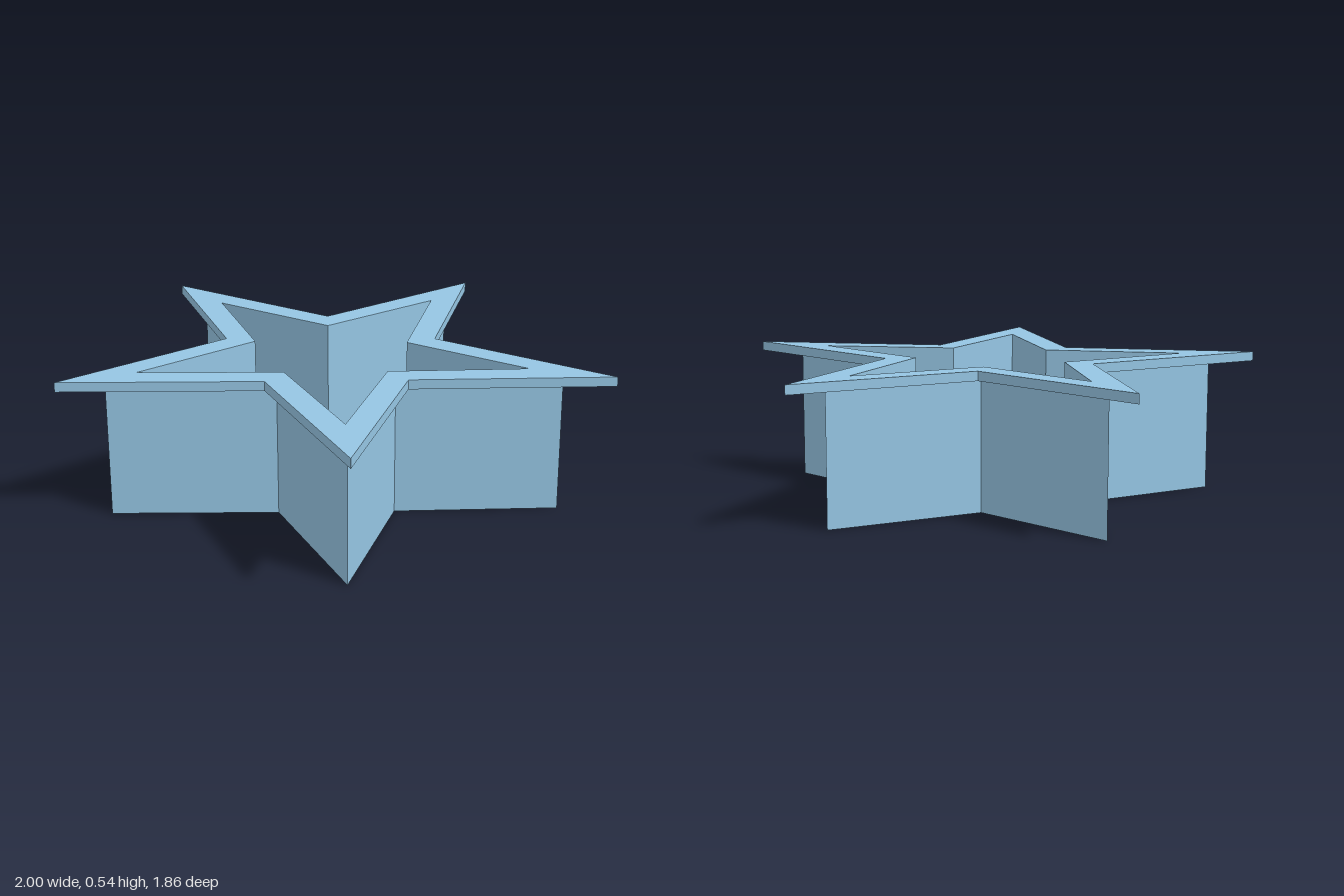
import * as THREE from 'three';

// Star corners as [x, z], starting at the left arm and going round by the back
const RIM = [[-1, -0.23], [-0.255, -0.23], [-0.028, -0.93], [0.24, -0.23], [1, -0.23],
  [0.395, 0.21], [0.617, 0.912], [-0.02, 0.507], [-0.63, 0.93], [-0.42, 0.21]];
const INNER = [[-0.71, -0.133], [-0.187, -0.133], [-0.02, -0.635], [0.175, -0.133], [0.697, -0.133],
  [0.285, 0.175], [0.443, 0.683], [-0.02, 0.39], [-0.458, 0.69], [-0.31, 0.175]];
const WALL_SHARE = 0.388; // wall thickness as a share of the rim width
const RIM_Y = 0.502;
const TOP_Y = 0.538;

// Upright star ring between two outlines, from y0 to y1; the hole runs the opposite way
function starRing(outer, inner, y0, y1) {
  const points = (list) => list.map(([x, z]) => new THREE.Vector2(x, -z));
  const shape = new THREE.Shape(points(outer));
  shape.holes.push(new THREE.Path(points(inner).reverse()));
  const geometry = new THREE.ExtrudeGeometry(shape, { depth: y1 - y0, bevelEnabled: false });
  geometry.rotateX(-Math.PI / 2);
  geometry.translate(0, y0, 0);
  return geometry;
}

export function createModel() {
  const group = new THREE.Group();
  group.name = 'starCutter';
  const blue = new THREE.MeshStandardMaterial({ color: 0x95c5e3 });
  blue.name = 'softBlue';

  // Thin wall, flush with the rim on the inside
  const wallOutline = INNER.map(([x, z], i) => [
    x + (RIM[i][0] - x) * WALL_SHARE,
    z + (RIM[i][1] - z) * WALL_SHARE,
  ]);
  const wall = new THREE.Mesh(starRing(wallOutline, INNER, 0, RIM_Y), blue);
  wall.name = 'cuttingWall';

  // Wide flat rim on top
  const rim = new THREE.Mesh(starRing(RIM, INNER, RIM_Y, TOP_Y), blue);
  rim.name = 'topRim';

  group.add(wall, rim);
  return group;
}
